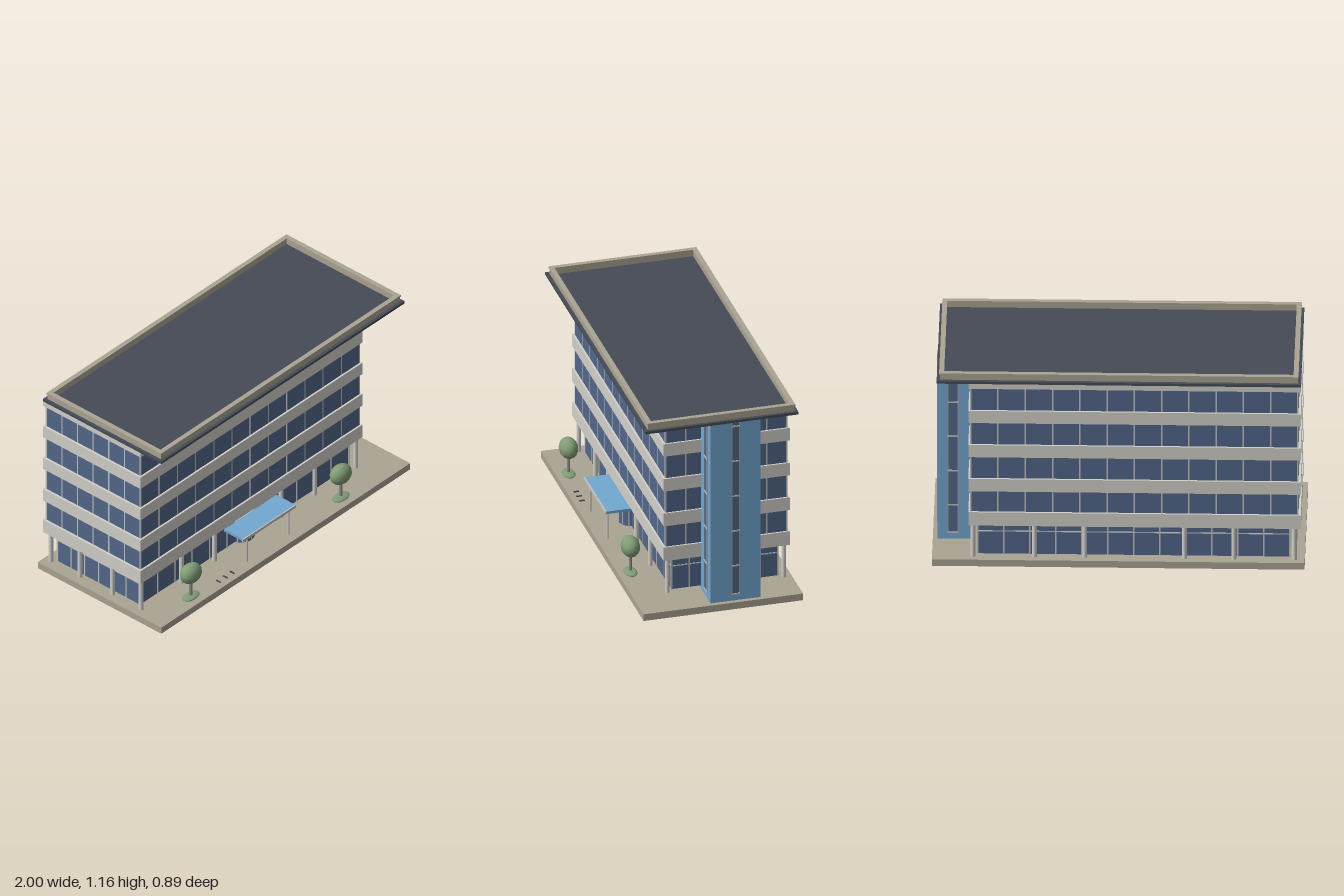
import * as THREE from 'three';

const mat = (name, color) => {
  const m = new THREE.MeshStandardMaterial({ color });
  m.name = name;
  return m;
};

export function createModel() {
  const stone = mat('stone', 0xaaa493), concrete = mat('paleConcrete', 0xd2d0ca);
  const metal = mat('paleMetal', 0xc4c4c0), glass = mat('blueGlass', 0x52678a);
  const blue = mat('bluePanel', 0x72a7d0), roofing = mat('darkRoofing', 0x464b55);
  const leaf = mat('leafGreen', 0x809c76), bark = mat('greyBark', 0x8e8b84);

  const model = new THREE.Group();
  model.name = 'officeBuilding';
  const group = (name) => {
    const g = new THREE.Group();
    g.name = name;
    model.add(g);
    return g;
  };
  const add = (parent, name, geo, m, x = 0, y = 0, z = 0) => {
    const mesh = new THREE.Mesh(geo, m);
    mesh.name = name;
    mesh.position.set(x, y, z);
    parent.add(mesh);
    return mesh;
  };
  // Box given by its limits along each axis
  const box = (parent, name, m, x0, x1, y0, y1, z0, z1) =>
    add(parent, name, new THREE.BoxGeometry(x1 - x0, y1 - y0, z1 - z0), m,
      (x0 + x1) / 2, (y0 + y1) / 2, (z0 + z1) / 2);
  const post = (parent, name, m, x, z, y0, y1, r, sides = 16) =>
    add(parent, name, new THREE.CylinderGeometry(r, r, y1 - y0, sides), m, x, (y0 + y1) / 2, z);
  // Four walls around a rectangle
  const ring = (parent, name, m, x0, x1, y0, y1, z0, z1, t) => {
    box(parent, name, m, x0, x1, y0, y1, z1 - t, z1);
    box(parent, name, m, x0, x1, y0, y1, z0, z0 + t);
    box(parent, name, m, x0, x0 + t, y0, y1, z0 + t, z1 - t);
    box(parent, name, m, x1 - t, x1, y0, y1, z0 + t, z1 - t);
  };
  // Evenly spaced uprights on all four sides of a glazed box
  const mullions = (parent, x0, x1, y0, y1, z0, z1, nx, nz) => {
    const h = 0.004;
    for (let i = 0; i <= nx; i++) {
      const x = x0 + (x1 - x0) * i / nx;
      for (const z of [z0, z1]) box(parent, 'mullion', metal, x - h, x + h, y0, y1, z - h, z + h);
    }
    for (let i = 1; i < nz; i++) {
      const z = z0 + (z1 - z0) * i / nz;
      for (const x of [x0, x1]) box(parent, 'mullion', metal, x - h, x + h, y0, y1, z - h, z + h);
    }
  };

  box(model, 'plinth', stone, -1, 1, 0, 0.04, -0.445, 0.445);

  // Recessed ground floor
  const ground = group('groundFloor');
  box(ground, 'groundGlazing', glass, -0.92, 0.755, 0.04, 0.24, -0.373, 0.22);
  mullions(ground, -0.92, 0.755, 0.04, 0.24, -0.373, 0.22, 12, 6);
  ring(ground, 'transom', metal, -0.923, 0.758, 0.176, 0.182, -0.376, 0.223, 0.01);
  box(ground, 'soffit', stone, -0.965, 0.795, 0.24, 0.25, -0.415, 0.265);

  // Columns under the upper floors
  const columns = group('columns');
  for (const x of [-0.945, -0.62, -0.355, 0.18, 0.45, 0.78])
    for (const z of [0.25, -0.4]) post(columns, 'column', concrete, x, z, 0.04, 0.24, 0.013);
  for (const z of [-0.19, 0.045]) post(columns, 'column', concrete, -0.945, z, 0.04, 0.24, 0.013);

  // Upper floors with spandrel bands
  const upper = group('upperFloors');
  box(upper, 'upperGlazing', glass, -0.967, 0.795, 0.25, 1.11, -0.416, 0.266);
  mullions(upper, -0.964, 0.792, 0.3, 1.11, -0.413, 0.263, 12, 6);
  for (const [y0, y1] of [[0.24, 0.322], [0.45, 0.527], [0.66, 0.735], [0.87, 0.945], [1.08, 1.11]])
    ring(upper, 'spandrelBand', concrete, -0.98, 0.805, y0, y1, -0.427, 0.277, 0.024);

  // Stair tower with slit windows on three sides
  const tower = group('stairTower');
  box(tower, 'towerShaft', blue, 0.79, 0.975, 0.04, 1.11, -0.215, 0.065);
  const slit = (x, z, turn) => {
    const s = new THREE.Group();
    s.name = 'slitWindow';
    s.position.set(x, 0, z);
    s.rotation.y = turn;
    tower.add(s);
    box(s, 'slitGlass', glass, -0.02, 0.02, 0.08, 1.11, 0, 0.002);
    for (const e of [-0.021, 0.021]) box(s, 'slitFrame', stone, e - 0.002, e + 0.002, 0.08, 1.11, 0, 0.004);
    for (const y of [0.08, 0.25, 0.46, 0.67, 0.88, 1.09])
      box(s, 'slitBar', metal, -0.023, 0.023, y - 0.004, y + 0.004, 0, 0.005);
    return s;
  };
  slit(0.975, -0.075, Math.PI / 2);
  slit(0.892, 0.065, 0).scale.x = 1.3;
  slit(0.892, -0.215, Math.PI).scale.x = 1.3;

  // Overhanging roof and parapet
  const roof = group('roof');
  box(roof, 'roofSlab', roofing, -0.98, 0.975, 1.11, 1.125, -0.427, 0.427);
  ring(roof, 'parapet', stone, -0.963, 0.958, 1.125, 1.157, -0.409, 0.409, 0.02);
  ring(roof, 'parapetCap', stone, -0.967, 0.962, 1.157, 1.165, -0.413, 0.413, 0.027);

  // Entrance canopy and round lobby
  const entrance = group('entrance');
  box(entrance, 'canopy', blue, -0.295, 0.125, 0.207, 0.222, 0.265, 0.4);
  box(entrance, 'canopyFascia', metal, -0.3, 0.125, 0.206, 0.223, 0.4, 0.407);
  for (const x of [-0.245, 0.09]) post(entrance, 'canopyPost', metal, x, 0.385, 0.04, 0.207, 0.006, 10);
  post(entrance, 'lobbyDrum', glass, -0.085, 0.2, 0.04, 0.165, 0.073, 32);
  post(entrance, 'lobbyCap', metal, -0.085, 0.2, 0.165, 0.18, 0.081, 32);
  for (let i = 0; i < 5; i++) {
    const a = -1.1 + i * 0.55;
    post(entrance, 'lobbyMullion', metal, -0.085 + 0.073 * Math.sin(a), 0.2 + 0.073 * Math.cos(a), 0.04, 0.165, 0.003, 6);
  }

  // Ground slots in the forecourt
  const slots = group('groundSlots');
  for (const x of [-0.485, -0.43, -0.375]) box(slots, 'groundSlot', roofing, x - 0.004, x + 0.004, 0.04, 0.045, 0.38, 0.41);

  // Trees with a low planted mound
  for (const x of [-0.69, 0.515]) {
    const tree = group('tree');
    tree.position.set(x, 0, 0.38);
    add(tree, 'crown', new THREE.SphereGeometry(1, 16, 12), leaf, 0, 0.203, 0).scale.set(0.07, 0.058, 0.051);
    post(tree, 'trunk', bark, 0, 0, 0.04, 0.16, 0.009, 10);
    add(tree, 'mound', new THREE.SphereGeometry(1, 16, 8), leaf, 0, 0.05, 0).scale.set(0.06, 0.011, 0.036);
  }
  return model;
}
